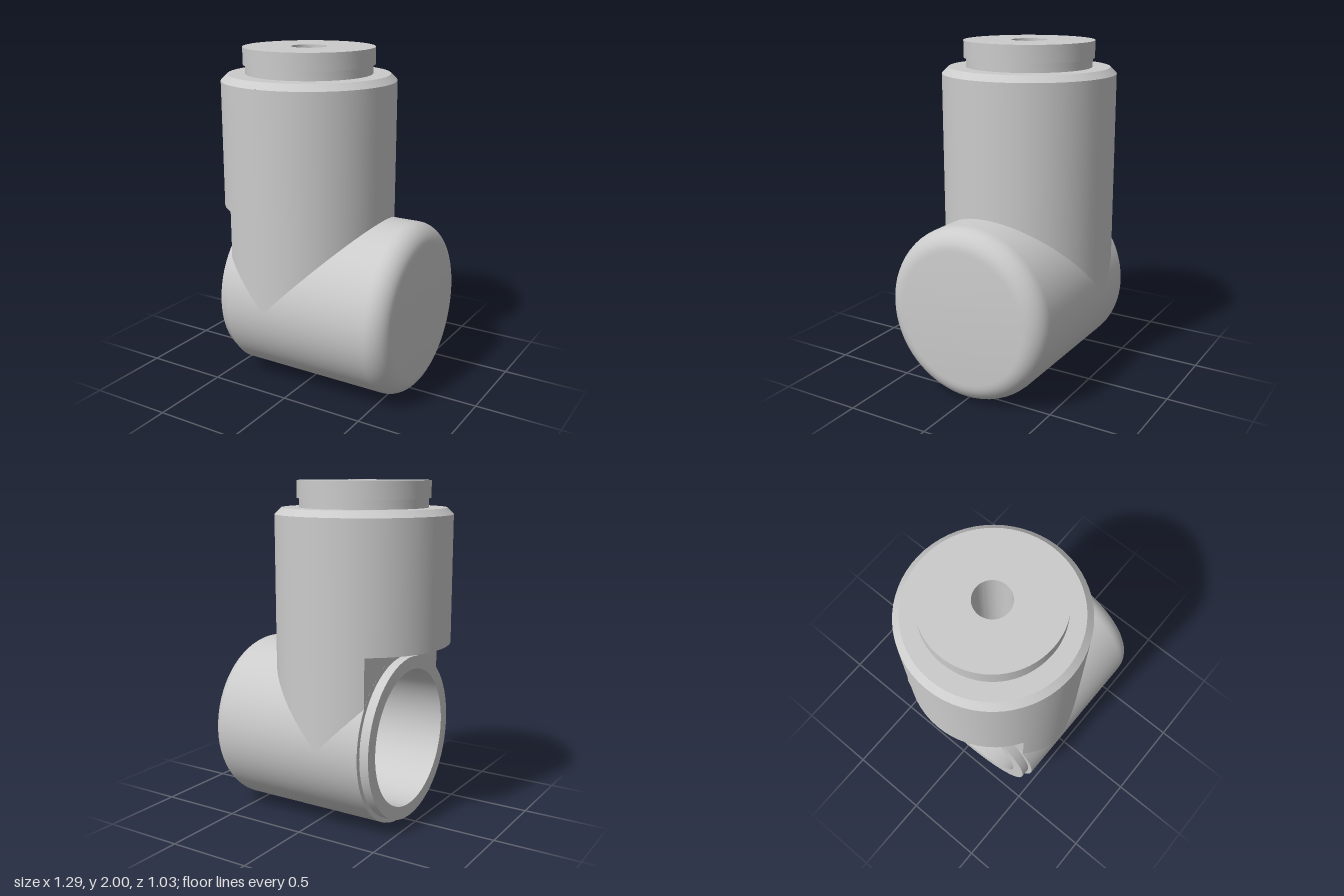
import * as THREE from 'three';
import { toCreasedNormals } from 'three/addons/utils/BufferGeometryUtils.js';

const R = 0.515;            // radius of both barrels
const AXIS_X = -0.13;       // axis of the upright barrel
const AXIS_Y = 0.515;       // axis of the lying barrel
const CUT_X = -0.40;        // plane of the open end
const STEP_Y = 1.07;        // underside of the overhang
const SEGMENTS = 64;

export function createModel() {
  const model = new THREE.Group();
  model.name = 'elbowJoint';
  const material = new THREE.MeshStandardMaterial({ color: 0xcccccc });

  const add = (name, geometry, x = 0, y = 0) => {
    const mesh = new THREE.Mesh(geometry, material);
    mesh.name = name;
    mesh.position.set(x, y, 0);
    model.add(mesh);
    return mesh;
  };
  const turned = (profile) => toCreasedNormals(
    new THREE.LatheGeometry(profile.map(([r, h]) => new THREE.Vector2(r, h)), SEGMENTS), 0.5);

  // Lying barrel: bore, lip, outer wall and rounded closed end
  const profile = [[0, 0.52], [0.41, 0.52], [0.41, -0.455], [0.487, -0.455], [0.487, CUT_X], [R, CUT_X]];
  const fillet = 0.12;
  for (let i = 0; i <= 8; i++) {
    const t = (i / 8) * Math.PI / 2;
    profile.push([R - fillet + fillet * Math.cos(t), 0.643 - fillet + fillet * Math.sin(t)]);
  }
  profile.push([0, 0.643]);
  add('lyingBarrel', turned(profile), 0, AXIS_Y).rotation.z = -Math.PI / 2;

  // Upright wall: four arcs, the lower edge mitred to the lying barrel
  // except over the open end, where it stops at the overhang
  const a = Math.asin((AXIS_X - CUT_X) / R);
  const topY = 1.81;
  const arcs = [
    [-a, 0, 6], [0, Math.PI, 32], [Math.PI, Math.PI + a, 6], [Math.PI + a, 2 * Math.PI - a, 20],
  ];
  arcs.forEach(([start, end, count], index) => {
    const wall = new THREE.CylinderGeometry(R, R, 1, count, 1, true, start, end - start);
    const p = wall.attributes.position;
    for (let i = 0; i < p.count; i++) {
      const mitre = AXIS_Y + Math.abs(p.getX(i)) - 0.005;
      const bottom = index === 3 ? STEP_Y : mitre;
      p.setY(i, p.getY(i) > 0 ? topY : bottom);
    }
    add('uprightWall' + (index + 1), wall, AXIS_X);
  });

  // Flat face between the lying barrel and the overhang
  const w = R * Math.cos(a);
  const face = new THREE.Shape();
  face.moveTo(-w, AXIS_Y + R * Math.sin(a));
  face.absarc(0, AXIS_Y, R, Math.PI - a, a, true);
  face.lineTo(w, STEP_Y);
  face.lineTo(-w, STEP_Y);
  add('stepFace', new THREE.ShapeGeometry(face, 32).rotateY(-Math.PI / 2), CUT_X);

  // Underside of the overhang
  const segment = new THREE.Shape();
  segment.absarc(0, 0, R, Math.PI / 2 + a, 1.5 * Math.PI - a, false);
  add('overhangUnderside', new THREE.ShapeGeometry(segment, 20).rotateX(Math.PI / 2), AXIS_X, STEP_Y);

  // Chamfered shoulder, neck and cap with a central hole
  add('neckAndCap', turned([
    [R, topY], [0.477, 1.847], [0.373, 1.847], [0.373, 1.9], [0.386, 1.9],
    [0.386, 2], [0.105, 2], [0.105, 1.2], [0, 1.2],
  ]), AXIS_X);

  return model;
}
